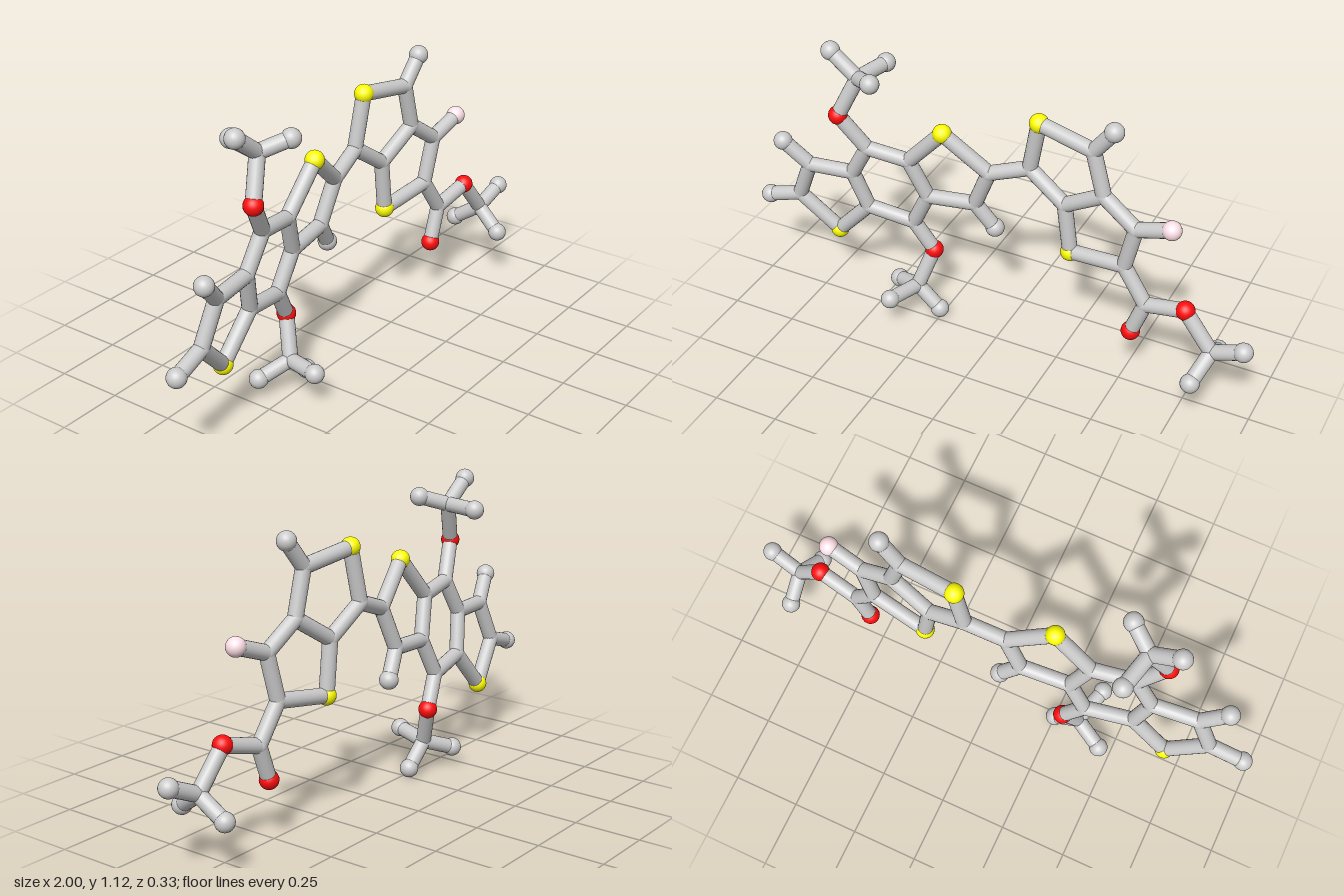
import * as THREE from 'three';

const ATOM_R = 0.035, JOINT_R = 0.029, BOND_R = 0.028;

// The two flat ring systems each lie in a slightly tilted plane
const leftZ = (x, y) => -0.153 - 0.109 * x + 0.146 * y;
const rightZ = (x, y) => -0.101 + 0.137 * x + 0.031 * y;

// name: [kind, x, y, z or plane]
const ATOMS = {
  // left three-ring system
  h1: ['end', -0.967, 0.37, leftZ], c1: ['joint', -0.835, 0.41, leftZ],
  s1: ['sulfur', -0.69, 0.265, leftZ], c2: ['joint', -0.77, 0.57, leftZ],
  h2: ['end', -0.86, 0.665, 0.045], c3: ['joint', -0.595, 0.575, leftZ],
  c4: ['joint', -0.55, 0.42, leftZ], c5: ['joint', -0.52, 0.71, leftZ],
  c6: ['joint', -0.36, 0.69, leftZ], c7: ['joint', -0.30, 0.535, leftZ],
  c8: ['joint', -0.37, 0.39, leftZ], s2: ['sulfur', -0.215, 0.85, leftZ],
  c9: ['joint', -0.05, 0.71, leftZ], c10: ['joint', -0.115, 0.55, leftZ],
  h3: ['end', -0.045, 0.45, -0.082],
  // upper side branch
  o1: ['oxygen', -0.61, 0.847, 0.047], m1: ['joint', -0.54, 1.0, 0.012],
  m1a: ['end', -0.647, 1.083, 0.01], m1b: ['end', -0.45, 1.034, 0.08],
  m1c: ['end', -0.505, 1.0, -0.13],
  // lower side branch
  o2: ['oxygen', -0.298, 0.27, -0.076], m2: ['joint', -0.345, 0.12, -0.025],
  m2a: ['end', -0.457, 0.076, -0.08], m2b: ['end', -0.253, 0.037, -0.025],
  m2c: ['end', -0.388, 0.132, 0.115],
  // right two-ring system
  c11: ['joint', 0.10, 0.765, rightZ], s3: ['sulfur', 0.138, 0.967, rightZ],
  c12: ['joint', 0.355, 0.935, rightZ], h4: ['end', 0.43, 1.034, -0.015],
  c13: ['joint', 0.40, 0.765, rightZ], c14: ['joint', 0.245, 0.665, rightZ],
  s4: ['sulfur', 0.27, 0.468, rightZ], c15: ['joint', 0.49, 0.50, rightZ],
  c16: ['joint', 0.53, 0.675, rightZ], f1: ['fluorine', 0.663, 0.724, 0.007],
  // right side branch
  c17: ['joint', 0.58, 0.365, rightZ], o3: ['oxygen', 0.532, 0.23, -0.01],
  o4: ['oxygen', 0.735, 0.408, 0.01], m3: ['joint', 0.845, 0.27, 0.02],
  m3a: ['end', 0.963, 0.324, 0.035], m3b: ['end', 0.812, 0.198, 0.127],
  m3c: ['end', 0.838, 0.198, -0.087],
};

// Chains of bonded atoms
const CHAINS = [
  'h1 c1 c2 c3 c4 s1 c1', 'c2 h2', 'c3 c5 c6 c7 c8 c4',
  'c6 s2 c9 c10 c7', 'c10 h3', 'c9 c11',
  'c5 o1 m1 m1a', 'm1b m1 m1c', 'c8 o2 m2 m2a', 'm2b m2 m2c',
  'c11 s3 c12 c13 c14 c11', 'c12 h4', 'c14 s4 c15 c16 c13', 'c16 f1',
  'c15 c17 o3', 'c17 o4 m3 m3a', 'm3b m3 m3c',
];

const COLORS = { joint: 0xcccccc, end: 0xcccccc, sulfur: 0xffff00, oxygen: 0xff0d0d, fluorine: 0xffe0e8 };

export function createModel() {
  const model = new THREE.Group();
  const materials = {};
  for (const kind in COLORS) materials[kind] = new THREE.MeshStandardMaterial({ color: COLORS[kind] });

  // Atom balls
  const ball = new THREE.SphereGeometry(1, 24, 16);
  const atoms = new THREE.Group();
  atoms.name = 'atoms';
  const points = {};
  for (const [id, [kind, x, y, z]] of Object.entries(ATOMS)) {
    points[id] = new THREE.Vector3(x, y, typeof z === 'function' ? z(x, y) : z);
    const mesh = new THREE.Mesh(ball, materials[kind]);
    mesh.name = kind + 'Ball';
    mesh.position.copy(points[id]);
    mesh.scale.setScalar(kind === 'joint' ? JOINT_R : ATOM_R);
    atoms.add(mesh);
  }

  // Bond rods between neighbouring atoms
  const rod = new THREE.CylinderGeometry(BOND_R, BOND_R, 1, 20, 1, true);
  const up = new THREE.Vector3(0, 1, 0);
  const bonds = new THREE.Group();
  bonds.name = 'bonds';
  for (const chain of CHAINS) {
    const ids = chain.split(' ');
    for (let i = 1; i < ids.length; i++) {
      const a = points[ids[i - 1]], b = points[ids[i]];
      const dir = b.clone().sub(a);
      const mesh = new THREE.Mesh(rod, materials.joint);
      mesh.name = 'bondRod';
      mesh.position.copy(a).lerp(b, 0.5);
      mesh.scale.y = dir.length();
      mesh.quaternion.setFromUnitVectors(up, dir.normalize());
      bonds.add(mesh);
    }
  }

  model.add(atoms, bonds);
  return model;
}
